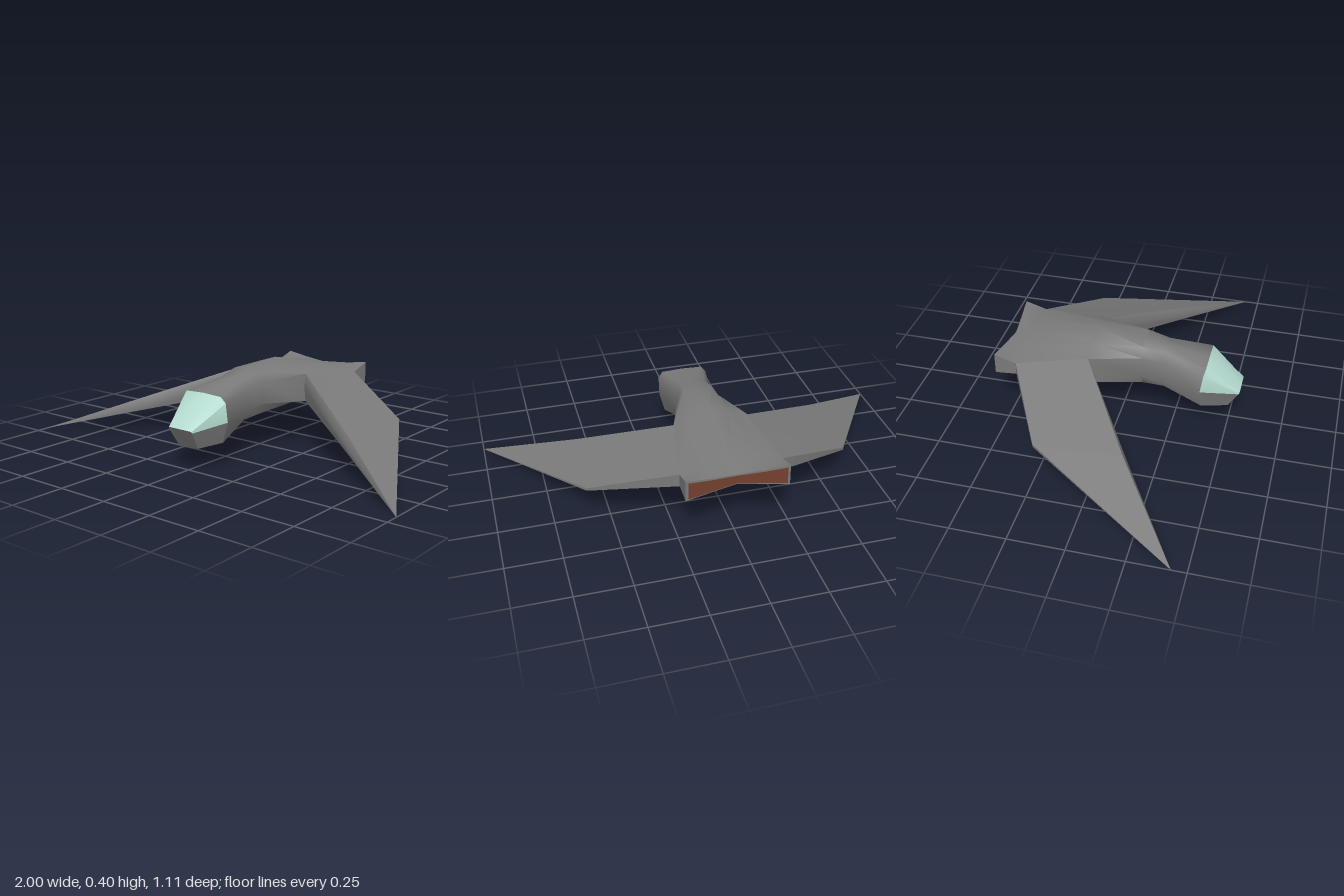
import * as THREE from 'three';
import { toCreasedNormals } from 'three/addons/utils/BufferGeometryUtils.js';

const material = (name, color) => {
  const m = new THREE.MeshStandardMaterial({ color, side: THREE.DoubleSide });
  m.name = name;
  return m;
};

// Mesh from a list of four-cornered faces; flip reverses the corners for mirrored parts.
function quadMesh(name, quads, mat, flip = false, crease = 0.8) {
  const pos = [];
  const va = new THREE.Vector3(), vb = new THREE.Vector3(), vc = new THREE.Vector3();
  const tri = (a, b, c) => {
    va.fromArray(a);
    vb.fromArray(b).sub(va);
    vc.fromArray(c).sub(va);
    if (vb.cross(vc).length() < 1e-9) return;
    pos.push(...a, ...(flip ? c : b), ...(flip ? b : c));
  };
  for (const [a, b, c, d] of quads) {
    tri(a, b, c);
    tri(a, c, d);
  }
  const g = new THREE.BufferGeometry();
  g.setAttribute('position', new THREE.Float32BufferAttribute(pos, 3));
  const mesh = new THREE.Mesh(toCreasedNormals(g, crease), mat);
  mesh.name = name;
  return mesh;
}

// Faces joining successive closed rings, limited to some columns.
function loft(rings, columns) {
  const quads = [], n = rings[0].length;
  for (let i = 0; i + 1 < rings.length; i++) {
    for (const j of columns ?? rings[0].keys()) {
      const k = (j + 1) % n;
      quads.push([rings[i][j], rings[i][k], rings[i + 1][k], rings[i + 1][j]]);
    }
  }
  return quads;
}

const mirrorPoint = ([x, y, z]) => [-x, y, z];

// Half section (top centre to bottom centre) completed to a closed ring of ten points.
const fullRing = (half) => [...half, ...half.slice(1, -1).reverse().map(mirrorPoint)];

// Faces closing a ten-point ring by joining its upper and lower edges.
function capQuads(r) {
  return [
    [r[0], r[1], r[4], r[5]], [r[1], r[2], r[3], r[4]],
    [r[9], r[0], r[5], r[6]], [r[8], r[9], r[6], r[7]],
  ];
}

export function createModel() {
  const hull = material('hull grey', 0x7a7a7a);
  const glass = material('canopy pale green', 0xb4dacf);
  const under = material('wing underside purple', 0x7a6690);
  const glow = material('exhaust rust', 0x75402f);

  const craft = new THREE.Group();
  craft.name = 'glider craft';

  // Fuselage sections from nose to tail
  const rings = [
    [[0, 0.195, 0.55], [0.055, 0.195, 0.55], [0.065, 0.193, 0.549], [0.067, 0.187, 0.546], [0.055, 0.106, 0.5], [0, 0.104, 0.5]],
    [[0, 0.325, 0.395], [0.098, 0.321, 0.395], [0.12, 0.295, 0.388], [0.12, 0.206, 0.375], [0.095, 0.112, 0.38], [0, 0.108, 0.38]],
    [[0, 0.36, 0.2], [0.06, 0.355, 0.2], [0.085, 0.315, 0.2], [0.085, 0.215, 0.2], [0.068, 0.172, 0.2], [0, 0.167, 0.2]],
    [[0, 0.38, 0.1], [0.07, 0.376, 0.1], [0.095, 0.33, 0.1], [0.095, 0.23, 0.1], [0.075, 0.18, 0.1], [0, 0.175, 0.1]],
    [[0, 0.4, -0.12], [0.09, 0.37, -0.12], [0.17, 0.34, -0.12], [0.17, 0.21, -0.12], [0.1, 0.195, -0.12], [0, 0.195, -0.12]],
    [[0, 0.325, -0.455], [0.12, 0.315, -0.455], [0.23, 0.3, -0.455], [0.23, 0.24, -0.455], [0.12, 0.236, -0.455], [0, 0.235, -0.455]],
    [[0, 0.308, -0.53], [0.12, 0.317, -0.543], [0.23, 0.33, -0.555], [0.23, 0.232, -0.555], [0.12, 0.246, -0.543], [0, 0.26, -0.53]],
  ].map(fullRing);

  craft.add(
    quadMesh('canopy', loft(rings.slice(0, 2), [0, 1, 2, 7, 8, 9]), glass, false, 1),
    quadMesh('chin', loft(rings.slice(0, 2), [3, 4, 5, 6]), hull),
    quadMesh('noseFace', capQuads(rings[0]), hull, true),
    quadMesh('fuselage', loft(rings.slice(1)), hull, false, 1),
    quadMesh('tailFace', capQuads(rings[6]), hull),
  );

  // Exhaust plate, inset from the tail rim
  const plate = rings[6].map(([x, y, z]) => [x * 0.95, 0.283 + (y - 0.283) * 0.82, z - 0.003]);
  craft.add(quadMesh('exhaust', capQuads(plate), glow));

  // Wing sections: upper lead, nose, lower lead, lower trail, upper trail
  const tip = [1, 0, 0.435];
  const wing = [
    [[0.17, 0.34, -0.13], [0.172, 0.28, -0.118], [0.17, 0.21, -0.13], [0.23, 0.24, -0.455], [0.23, 0.3, -0.455]],
    [[0.585, 0.172, 0.135], [0.585, 0.14, 0.157], [0.585, 0.105, 0.148], [0.6, 0.153, -0.26], [0.6, 0.166, -0.26]],
    [tip, tip, tip, tip, tip],
  ];
  for (const side of [1, -1]) {
    const s = side > 0 ? wing : wing.map((r) => r.map(mirrorPoint));
    const group = new THREE.Group();
    group.name = side > 0 ? 'leftWing' : 'rightWing';
    group.add(
      quadMesh('wingShell', loft(s, [0, 1, 3, 4]), hull, side < 0, 1),
      quadMesh('wingUnderside', loft(s, [2]), under, side < 0),
    );
    craft.add(group);
  }
  return craft;
}
